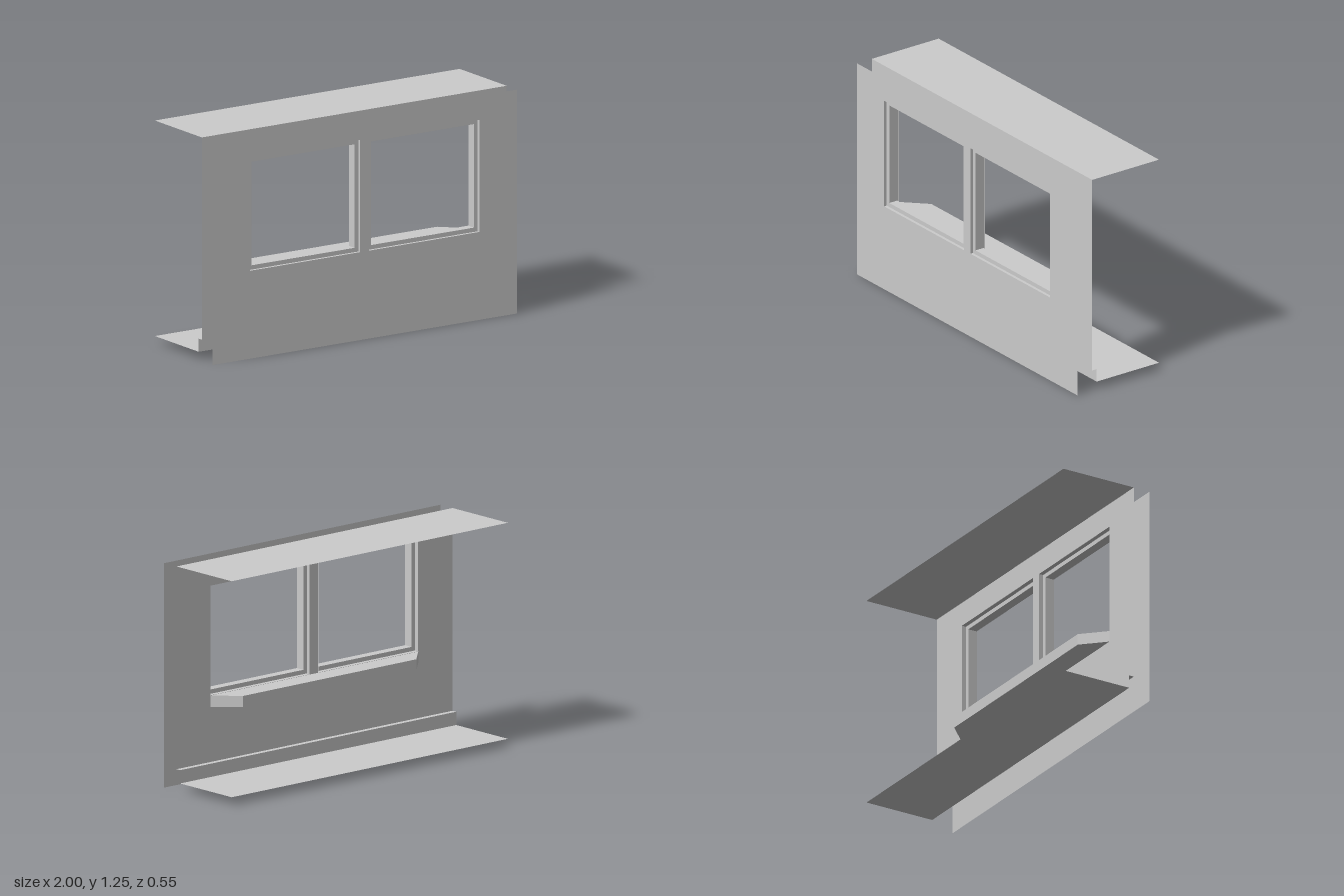
import * as THREE from 'three';

// Key depths and heights
const OUTER_Z = 0.275, INNER_Z = 0.175, POST_Z = 0.179, BACK_Z = -0.275;
const TOP = 1.25, FLOOR_Y = 0.047, SKIRT_TOP = 0.121, SKIRT_Z = 0.145;
const WIN_Y0 = 0.491, WIN_Y1 = 1.117;
const WINDOWS = [[-0.754, -0.031], [0.029, 0.752]];
const BORDER = 0.024, FRAME_Z0 = 0.205, FRAME_Z1 = 0.258;

function rect(Type, x0, y0, x1, y1) {
  const p = new Type();
  p.moveTo(x0, y0);
  p.lineTo(x1, y0);
  p.lineTo(x1, y1);
  p.lineTo(x0, y1);
  p.closePath();
  return p;
}

export function createModel() {
  const group = new THREE.Group();
  const plaster = new THREE.MeshStandardMaterial({ color: 0xcccccc, side: THREE.DoubleSide });
  plaster.name = 'light grey';

  const add = (name, geometry, parent = group) => {
    const mesh = new THREE.Mesh(geometry, plaster);
    mesh.name = name;
    parent.add(mesh);
    return mesh;
  };
  // Upright sheet facing front (sign 1) or back (sign -1), with optional openings
  const upright = (name, x0, y0, x1, y1, z, sign = 1, holes = []) => {
    const shape = rect(THREE.Shape, x0, y0, x1, y1);
    for (const h of holes) shape.holes.push(rect(THREE.Path, ...h));
    const geo = new THREE.ShapeGeometry(shape);
    if (sign < 0) geo.rotateY(Math.PI);
    return add(name, geo.translate(0, 0, z));
  };
  // Level sheet
  const level = (name, x0, x1, z0, z1, y, up = 1, parent = group) =>
    add(name, new THREE.PlaneGeometry(x1 - x0, z1 - z0).rotateX(-up * Math.PI / 2)
      .translate((x0 + x1) / 2, y, (z0 + z1) / 2), parent);
  // Sheet across x
  const side = (name, x, y0, y1, z0, z1, dir, parent) =>
    add(name, new THREE.PlaneGeometry(z1 - z0, y1 - y0).rotateY(dir * Math.PI / 2)
      .translate(x, (y0 + y1) / 2, (z0 + z1) / 2), parent);

  // Outer wall with two openings, inner wall with one wide opening
  upright('outerWall', -1, 0, 1, TOP, OUTER_Z, 1,
    WINDOWS.map(([a, b]) => [a, WIN_Y0, b, WIN_Y1]));
  upright('innerWall', -1, SKIRT_TOP, 1, TOP, INNER_Z, -1, [[-0.752, WIN_Y0, 0.752, WIN_Y1]]);
  upright('windowPost', WINDOWS[0][1], WIN_Y0, WINDOWS[1][0], WIN_Y1, POST_Z, -1);

  // Ceiling, floor and skirting with its narrow ledge
  level('ceiling', -1, 1, BACK_Z, INNER_Z, TOP, -1);
  level('floor', -1, 1, BACK_Z, SKIRT_Z, FLOOR_Y);
  upright('skirting', -1, FLOOR_Y, 1, SKIRT_TOP, SKIRT_Z, -1);
  level('skirtingLedge', -1, 1, SKIRT_Z, INNER_Z, SKIRT_TOP);

  // Window reveals and recessed frames
  WINDOWS.forEach(([x0, x1], i) => {
    const win = new THREE.Group();
    win.name = i ? 'leftWindow' : 'rightWindow';
    group.add(win);
    level('revealBottom', x0, x1, POST_Z, OUTER_Z, WIN_Y0, 1, win);
    level('revealTop', x0, x1, POST_Z, OUTER_Z, WIN_Y1, -1, win);
    side('revealSide', x0, WIN_Y0, WIN_Y1, POST_Z, OUTER_Z, 1, win);
    side('revealSide', x1, WIN_Y0, WIN_Y1, POST_Z, OUTER_Z, -1, win);

    const ring = rect(THREE.Shape, x0, WIN_Y0, x1, WIN_Y1);
    ring.holes.push(rect(THREE.Path, x0 + BORDER, WIN_Y0 + BORDER, x1 - BORDER, WIN_Y1 - BORDER));
    add('windowFrame', new THREE.ExtrudeGeometry(ring, { depth: FRAME_Z1 - FRAME_Z0, bevelEnabled: false })
      .translate(0, 0, FRAME_Z0), win);
  });

  // Window sill with angled ends, drawn in plan
  const plan = new THREE.Shape([[-0.752, INNER_Z], [0.752, INNER_Z], [0.627, 0.051], [-0.627, 0.051]]
    .map(([x, z]) => new THREE.Vector2(x, z)));
  add('windowSill', new THREE.ExtrudeGeometry(plan, { depth: 0.063, bevelEnabled: false })
    .rotateX(Math.PI / 2).translate(0, WIN_Y0, 0));

  return group;
}
